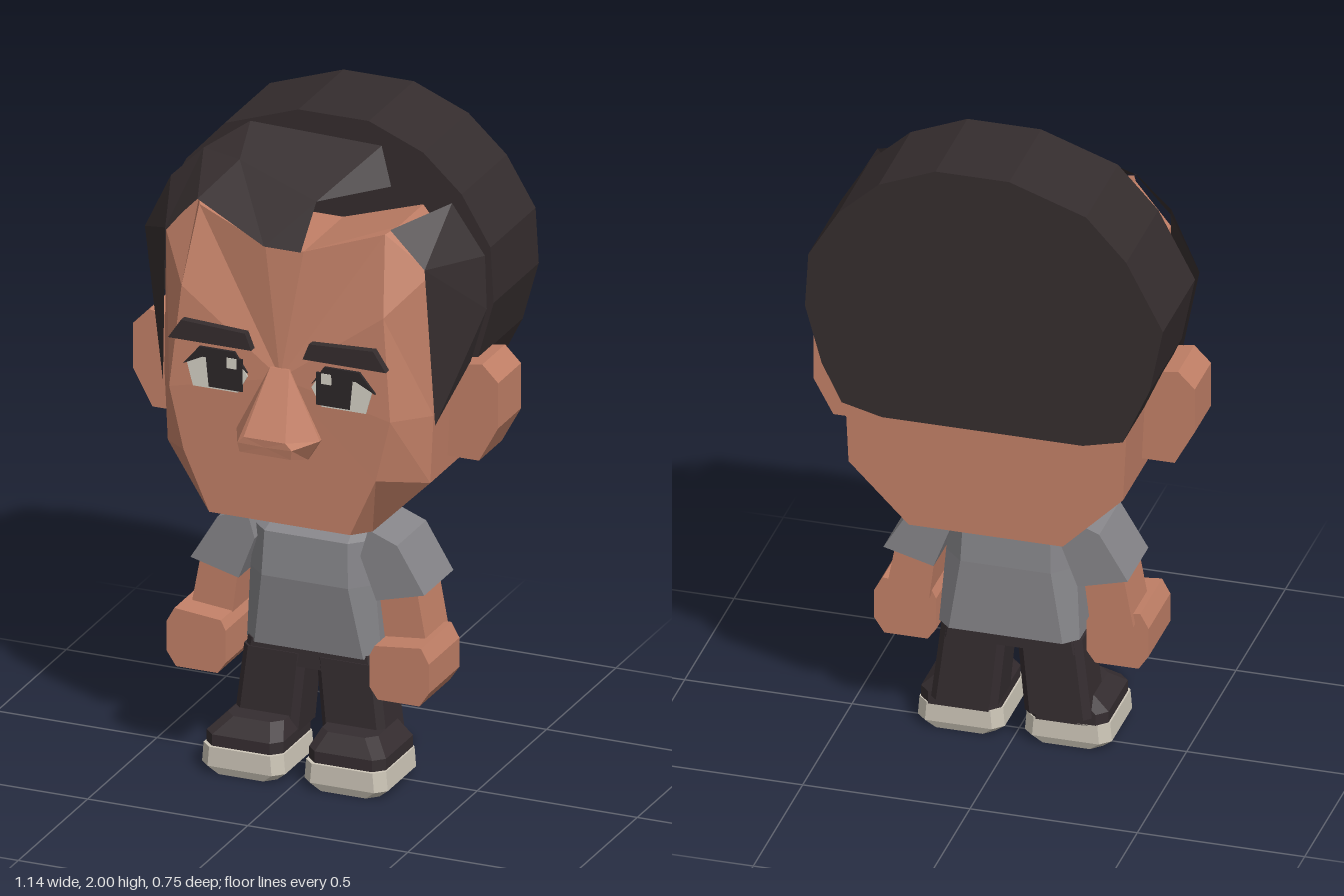
import * as THREE from 'three';

const mat = (name, color, side = THREE.FrontSide) => {
  const m = new THREE.MeshStandardMaterial({ color, side });
  m.name = name;
  return m;
};

// Faceted geometry from triangles of [x, y, z] corners
function facets(tris) {
  const g = new THREE.BufferGeometry();
  g.setAttribute('position', new THREE.Float32BufferAttribute(tris.flat(2), 3));
  g.computeVertexNormals();
  return g;
}

// Closed loft: rings run counterclockwise as seen from the end they advance to
function loft(rings, frontCentre) {
  const tris = [], n = rings[0].length;
  const mean = r => [0, 1, 2].map(k => r.reduce((s, p) => s + p[k], 0) / n);
  const first = rings[0], last = rings[rings.length - 1];
  const c0 = mean(first), c1 = frontCentre || mean(last);
  for (let i = 0; i < n; i++) {
    const j = (i + 1) % n;
    for (let k = 0; k + 1 < rings.length; k++) {
      const a = rings[k], b = rings[k + 1];
      tris.push([a[i], a[j], b[j]], [a[i], b[j], b[i]]);
    }
    tris.push([c0, first[j], first[i]], [c1, last[i], last[j]]);
  }
  return facets(tris);
}

// Outline in x, y pushed from z0 to z1
function slab(points, z0, z1) {
  const shape = new THREE.Shape(points.map(p => new THREE.Vector2(...p)));
  const g = new THREE.ExtrudeGeometry(shape, { depth: z1 - z0, bevelEnabled: false });
  g.translate(0, 0, z0);
  return g;
}

// Horizontal chamfered rectangle
function level(y, x0, x1, zb, zf, c = 0.03) {
  return [[x0 + c, y, zf], [x1 - c, y, zf], [x1, y, zf - c], [x1, y, zb + c],
    [x1 - c, y, zb], [x0 + c, y, zb], [x0, y, zb + c], [x0, y, zf - c]];
}

// Copy to the other side in x, keeping faces outward
function mirrored(geo) {
  const p = geo.attributes.position, out = [];
  for (let i = 0; i < p.count; i += 3)
    out.push([i, i + 2, i + 1].map(k => [-p.getX(k), p.getY(k), p.getZ(k)]));
  return facets(out);
}

export function createModel() {
  const model = new THREE.Group();
  model.name = 'figure';
  const skin = mat('skin', 0xc28067);
  const hair = mat('hair', 0x352d2e, THREE.DoubleSide);
  const shirt = mat('shirt grey', 0x868589);
  const trousers = mat('trouser black', 0x352d30);
  const sole = mat('sole cream', 0xcec7b9);
  const white = mat('eye white', 0xd6d2c6);
  const iris = mat('eye dark', 0x2c2729);

  const add = (name, geo, material) => {
    const m = new THREE.Mesh(geo, material);
    m.name = name;
    model.add(m);
  };
  const pair = (name, geo, material) => {
    add('left' + name, geo, material);
    add('right' + name, mirrored(geo), material);
  };
  const symmetric = half => [...half, ...half.slice().reverse().map(([x, y, z]) => [-x, y, z])];

  // Head: a deep block narrowing to the face
  const skull = z => symmetric([[0.23, 0.81, z], [0.41, 0.99, z], [0.42, 1.2, z],
    [0.415, 1.64, z], [0.31, 1.77, z], [0.06, 1.69, z]]);
  const face = symmetric([[0.22, 0.85, 0.27], [0.3, 1.03, 0.27], [0.345, 1.22, 0.27],
    [0.315, 1.53, 0.25], [0.29, 1.76, 0.18], [0.06, 1.69, 0.235]]);
  add('head', loft([skull(-0.34), skull(0.13), face], [0, 1.3, 0.267]), skin);

  pair('Ear', slab([[0.4, 1.03], [0.51, 1.03], [0.57, 1.14], [0.57, 1.28],
    [0.52, 1.33], [0.4, 1.31]], -0.155, 0.01), skin);

  // Nose: wedge with a flat tip
  const nose = [
    symmetric([[0.09, 1.06, 0.25], [0.13, 1.13, 0.25], [0.03, 1.33, 0.25]]),
    symmetric([[0.09, 1.065, 0.275], [0.13, 1.13, 0.28], [0.03, 1.33, 0.27]]),
    symmetric([[0.08, 1.1, 0.375], [0.085, 1.13, 0.38], [0.065, 1.15, 0.38]]),
  ];
  add('nose', loft(nose), skin);

  // Eyes and brows
  pair('EyeWhite', slab([[0.13, 1.235], [0.27, 1.235], [0.29, 1.31], [0.24, 1.34],
    [0.13, 1.34], [0.1, 1.29]], 0.264, 0.272), white);
  pair('UpperLid', slab([[0.1, 1.3], [0.13, 1.33], [0.24, 1.33], [0.3, 1.3],
    [0.25, 1.36], [0.14, 1.36]], 0.266, 0.275), iris);
  pair('Iris', slab([[0.115, 1.24], [0.22, 1.24], [0.23, 1.34], [0.115, 1.34]], 0.267, 0.274), iris);
  pair('EyeGlint', slab([[0.133, 1.308], [0.163, 1.308], [0.163, 1.34], [0.133, 1.34]], 0.27, 0.277), white);
  pair('Brow', slab([[0.08, 1.38], [0.34, 1.38], [0.3, 1.44], [0.1, 1.43]], 0.265, 0.29), hair);

  // Hair: thick back shell
  add('hairBack', slab([[0.3, 1.17], [0.42, 1.2], [0.48, 1.32], [0.53, 1.5], [0.52, 1.67],
    [0.43, 1.82], [0.31, 1.93], [0.14, 2], [-0.08, 2], [-0.31, 1.92], [-0.43, 1.79],
    [-0.54, 1.58], [-0.5, 1.38], [-0.42, 1.2], [-0.3, 1.17]], -0.375, -0.05), hair);

  // Hair: thin sideburn sheets, one outer edge per side
  const sideburn = (s, [a, b, c, d]) => {
    const top = [s * 0.3, 1.77, 0.165], mid = [s * 0.405, 1.66, 0.16], tip = [s * 0.425, 1.17, 0.13];
    return facets([[top, mid, a], [mid, b, a], [mid, c, b], [mid, tip, c], [tip, d, c]]);
  };
  add('leftSideburn', sideburn(1, [[0.43, 1.82, 0.02], [0.52, 1.66, -0.01],
    [0.53, 1.5, 0], [0.48, 1.33, 0]]), hair);
  add('rightSideburn', sideburn(-1, [[-0.35, 1.86, 0.01], [-0.45, 1.76, 0.015],
    [-0.54, 1.58, -0.005], [-0.49, 1.33, 0]]), hair);

  // Hair: swept fringe sheet
  const a = [-0.23, 1.94, -0.05], b = [0.18, 1.93, -0.05], c = [0.24, 1.84, 0.02],
    d = [0.05, 1.8, 0.12], e = [0.055, 1.69, 0.245], f = [-0.06, 1.69, 0.245],
    g = [-0.3, 1.77, 0.17], h = [-0.22, 1.86, 0.05], k = [-0.35, 1.86, 0.01];
  add('fringe', facets([[d, c, b], [d, b, a], [d, a, h], [d, h, f], [d, f, e],
    [h, g, f], [h, a, k], [h, k, g]]), hair);

  // Neck and shirt
  add('neck', loft([level(0.76, -0.08, 0.08, -0.1, 0.06), level(0.83, -0.14, 0.14, -0.1, 0.06)]), skin);
  add('shirt', loft([level(0.375, -0.21, 0.21, -0.14, 0.06, 0.04), level(0.6, -0.195, 0.195, -0.14, 0.09, 0.06),
    level(0.735, -0.18, 0.18, -0.13, 0.08, 0.05), level(0.775, -0.15, 0.15, -0.125, 0.0, 0.03)]), shirt);

  // Arms
  pair('Sleeve', slab([[0.165, 0.7], [0.215, 0.57], [0.365, 0.61], [0.28, 0.75], [0.19, 0.785]],
    -0.14, 0.07), shirt);
  pair('Forearm', slab([[0.24, 0.44], [0.37, 0.44], [0.335, 0.63], [0.22, 0.6]], -0.1, 0.06), skin);
  pair('Hand', slab([[0.25, 0.295], [0.38, 0.295], [0.41, 0.34], [0.41, 0.43], [0.385, 0.475],
    [0.24, 0.46], [0.225, 0.43], [0.225, 0.33]], -0.08, 0.14), skin);

  // Trousers
  add('hips', loft([level(0.32, -0.21, 0.21, -0.1, 0.06, 0.02), level(0.385, -0.2, 0.2, -0.1, 0.055, 0.02)]), trousers);
  pair('Leg', loft([level(0.11, 0.04, 0.24, -0.1, 0.065, 0.02), level(0.36, 0.015, 0.21, -0.095, 0.06, 0.02)]), trousers);

  // Shoes
  pair('Shoe', loft([level(0.08, 0.04, 0.28, -0.075, 0.18), level(0.12, 0.04, 0.28, -0.075, 0.18),
    level(0.165, 0.06, 0.235, -0.07, 0.13)]), trousers);
  pair('Sole', loft([level(0, 0.06, 0.26, -0.065, 0.18), level(0.025, 0.03, 0.29, -0.075, 0.19),
    level(0.085, 0.035, 0.285, -0.075, 0.19)]), sole);

  return model;
}
